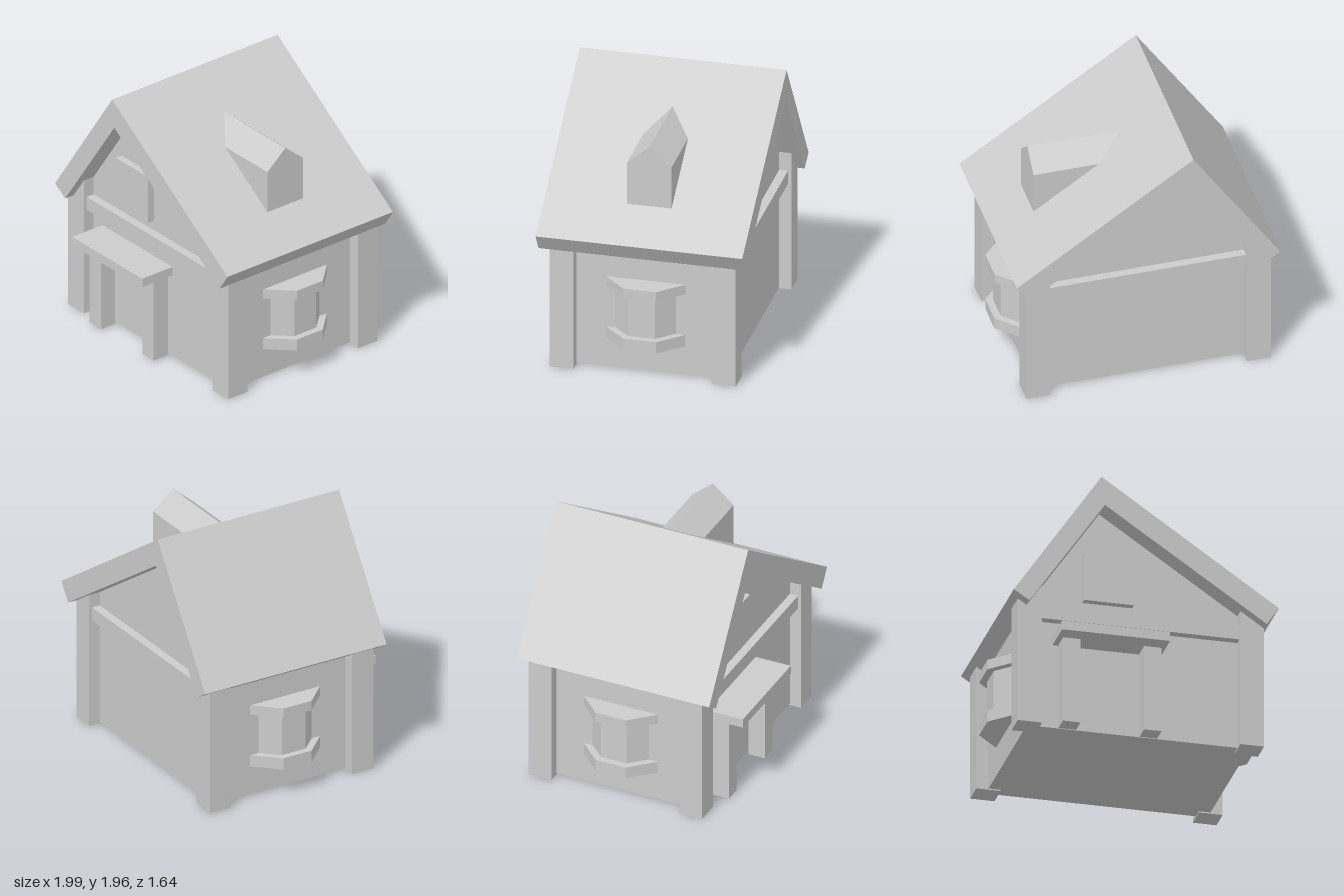
import * as THREE from 'three';

const CX = -0.0075; // middle of the house across x
const CZ = -0.06;   // middle of the house across z

export function createModel() {
  const group = new THREE.Group();
  const material = new THREE.MeshStandardMaterial({ color: 0xcccccc, flatShading: true });

  function add(name, geometry) {
    const mesh = new THREE.Mesh(geometry, material);
    mesh.name = name;
    group.add(mesh);
    return mesh;
  }

  // Box given by its minimum and maximum along each axis
  function box(name, x0, x1, y0, y1, z0, z1) {
    const g = new THREE.BoxGeometry(x1 - x0, y1 - y0, z1 - z0);
    g.translate((x0 + x1) / 2, (y0 + y1) / 2, (z0 + z1) / 2);
    return add(name, g);
  }

  // Outline swept straight along its normal
  function prism(points, depth) {
    const shape = new THREE.Shape(points.map(([a, b]) => new THREE.Vector2(a, b)));
    return new THREE.ExtrudeGeometry(shape, { depth, bevelEnabled: false });
  }

  // Outline in x, y swept from z0 to z1
  function prismZ(name, points, z0, z1) {
    return add(name, prism(points, z1 - z0).translate(0, 0, z0));
  }

  // Walls with gables, tops buried slightly in the roof
  prismZ('walls', [
    [-0.83, 0.015], [0.815, 0.015], [0.815, 1.02], [-0.297, 1.765], [-0.83, 0.985],
  ], -0.66, 0.54);

  // Asymmetric roof with square-cut eaves
  prismZ('roof', [
    [-0.97, 1.0], [-0.855, 0.925], [-0.295, 1.745],
    [0.905, 0.94], [0.995, 1.075], [-0.32, 1.965],
  ], -0.82, 0.71);

  // Corner posts, tops sloped to stay inside the roof
  for (const z of [0.54, -0.66]) {
    prismZ('leftCornerPost', [
      [0.73, 0.005], [0.905, 0.005], [0.905, 1.0], [0.73, 1.1],
    ], z - 0.09, z + 0.09);
    prismZ('rightCornerPost', [
      [-0.92, 0.005], [-0.74, 0.005], [-0.74, 1.13], [-0.92, 1.0],
    ], z - 0.09, z + 0.09);
  }

  // Beams across the front and back walls
  box('frontBeam', -0.74, 0.73, 0.845, 0.95, 0.5, 0.605);
  box('backBeam', -0.74, 0.73, 0.845, 0.95, -0.725, -0.62);

  // Attic window
  box('atticWindow', -0.42, -0.05, 1.03, 1.405, 0.5, 0.595);

  // Porch canopy on two posts
  box('porchCanopy', -0.64, 0.16, 0.67, 0.74, 0.52, 0.82);
  for (const x of [-0.6, 0]) box('porchPost', x, x + 0.13, 0.01, 0.68, 0.56, 0.69);

  // Dormer: pentagon swept along x into the roof slope
  const dormer = prism([
    [-0.165, 1.27], [0.165, 1.27], [0.165, 1.6], [0, 1.74], [-0.165, 1.6],
  ], 0.705);
  dormer.rotateY(Math.PI / 2).translate(0, 0, CZ);
  add('dormer', dormer);

  // Bay windows: stacked trapezoids, seen in plan, on both side walls
  function trapezoid(name, parent, halfBase, halfFront, reach, y0, y1) {
    const g = prism([
      [-halfBase, 0], [halfBase, 0], [halfFront, reach], [-halfFront, reach],
    ], y1 - y0);
    g.rotateX(-Math.PI / 2).translate(0, y0, 0);
    const mesh = add(name, g);
    parent.add(mesh);
  }
  for (const side of [1, -1]) {
    const bay = new THREE.Group();
    bay.name = side > 0 ? 'leftBayWindow' : 'rightBayWindow';
    trapezoid('bayTop', bay, 0.295, 0.12, 0.17, 0.655, 0.73);
    trapezoid('bayBody', bay, 0.225, 0.1, 0.118, 0.325, 0.66);
    trapezoid('baySill', bay, 0.295, 0.12, 0.17, 0.24, 0.33);
    bay.rotation.y = -side * Math.PI / 2;
    bay.position.set(CX + side * 0.822, 0, CZ);
    group.add(bay);
  }

  return group;
}
